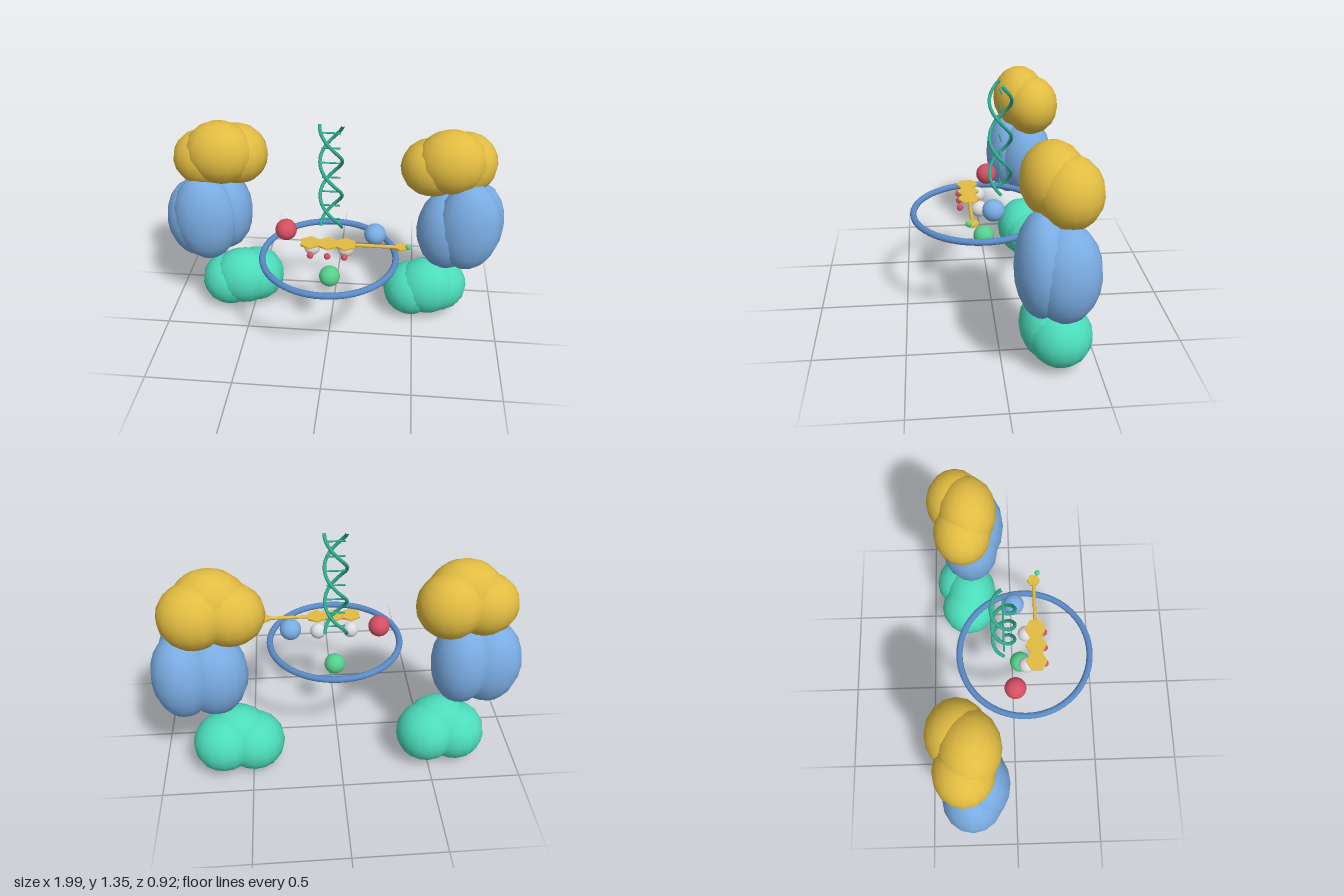
import * as THREE from 'three';

const mat = (name, color) => {
  const m = new THREE.MeshStandardMaterial({ color });
  m.name = name;
  return m;
};

export function createModel() {
  const model = new THREE.Group();
  model.name = 'floatingSculpture';

  const gold = mat('gold', 0xe2bc42);
  const blue = mat('blue', 0x7aade4);
  const teal = mat('teal', 0x4cdcbb);
  const red = mat('red', 0xd54f63);
  const green = mat('green', 0x55d08d);
  const white = mat('lightGrey', 0xdcdcdf);
  const ringBlue = mat('ringBlue', 0x5a8ac6);
  const helixGreen = mat('helixGreen', 0x31ac90);

  const add = (name, geometry, material, x = 0, y = 0, z = 0, parent = model) => {
    const mesh = new THREE.Mesh(geometry, material);
    mesh.name = name;
    mesh.position.set(x, y, z);
    parent.add(mesh);
    return mesh;
  };
  const ball = (name, r, material, x, y, z) =>
    add(name, new THREE.SphereGeometry(r, 24, 16), material, x, y, z);

  // Clusters of overlapping ellipsoid lobes: [x, y, z, rx, ry, rz]
  const lobeGeometry = new THREE.SphereGeometry(1, 16, 10);
  const cluster = (name, material, offset, lobes) => {
    const group = new THREE.Group();
    group.name = name;
    group.position.x = offset;
    model.add(group);
    for (const [x, y, z, rx, ry, rz] of lobes) {
      add('lobe', lobeGeometry, material, x, y, z, group).scale.set(rx, ry, rz);
    }
  };
  const upper = [
    [-0.643, 1.07, -0.23, 0.2, 0.185, 0.16],
    [-0.74, 1.02, -0.26, 0.183, 0.168, 0.158],
    [-0.56, 1.038, -0.293, 0.18, 0.178, 0.163],
  ];
  const lower = [
    [-0.655, 0.173, -0.27, 0.17, 0.168, 0.168],
    [-0.56, 0.21, -0.253, 0.19, 0.18, 0.158],
    [-0.487, 0.197, -0.298, 0.17, 0.168, 0.168],
  ];
  cluster('upperClusterRight', gold, 0, upper);
  cluster('upperClusterLeft', gold, 1.302, upper);
  cluster('lowerClusterRight', teal, 0, lower);
  cluster('lowerClusterLeft', teal, 1.14, lower);
  cluster('middleClusterRight', blue, 0, [
    [-0.812, 0.632, -0.235, 0.183, 0.253, 0.165],
    [-0.747, 0.668, -0.175, 0.19, 0.277, 0.14],
    [-0.65, 0.668, -0.278, 0.163, 0.252, 0.165],
  ]);
  cluster('middleClusterLeft', blue, 0, [
    [0.674, 0.632, -0.235, 0.183, 0.253, 0.165],
    [0.784, 0.692, -0.17, 0.185, 0.277, 0.135],
    [0.835, 0.665, -0.278, 0.163, 0.255, 0.17],
  ]);

  // Horizontal ring
  add('ring', new THREE.TorusGeometry(0.372, 0.018, 12, 64), ringBlue, 0.006, 0.604, 0.067)
    .rotation.x = Math.PI / 2;

  // Double helix with one and a half turns
  const helix = new THREE.Group();
  helix.name = 'doubleHelix';
  helix.position.set(0.007, 0.725, -0.05);
  model.add(helix);
  const height = 0.62;
  for (const phase of [0, Math.PI]) {
    const points = [];
    for (let i = 0; i <= 36; i++) {
      const t = i / 36;
      const a = phase + t * Math.PI * 3;
      points.push(new THREE.Vector3(0.06 * Math.cos(a), t * height, 0.06 * Math.sin(a)));
    }
    const path = new THREE.CatmullRomCurve3(points);
    add('helixStrand', new THREE.TubeGeometry(path, 90, 0.0095, 8), helixGreen, 0, 0, 0, helix);
  }
  for (let i = 0; i < 7; i++) {
    add('helixRung', new THREE.CylinderGeometry(0.005, 0.005, 0.1, 8), helixGreen,
      0, 0.052 + i * 0.087, 0, helix).rotation.z = Math.PI / 2;
  }

  // Floating balls
  ball('redBall', 0.06, red, -0.24, 0.727, 0.007);
  ball('blueBall', 0.06, blue, 0.257, 0.727, 0.01);
  ball('greenBall', 0.06, green, 0.007, 0.449, 0.043);
  for (const x of [-0.086, 0.1]) ball('greyBall', 0.045, white, x, 0.665, 0.075);
  for (const x of [-0.086, 0.007, 0.1]) ball('smallRedBall', 0.018, red, x, 0.677, 0.18);

  // Key-like row of hexagonal plates with a rod and tip
  for (const x of [-0.089, 0.007, 0.103]) {
    add('hexPlate', new THREE.CylinderGeometry(0.06, 0.06, 0.01, 6), gold, x, 0.727, 0.13);
  }
  add('rod', new THREE.CylinderGeometry(0.01, 0.01, 0.24, 10), gold, 0.268, 0.727, 0.13)
    .rotation.z = Math.PI / 2;
  add('hexTip', new THREE.CylinderGeometry(0.036, 0.036, 0.014, 6), gold, 0.403, 0.727, 0.13);
  ball('tipBall', 0.015, green, 0.441, 0.746, 0.153);

  return model;
}
